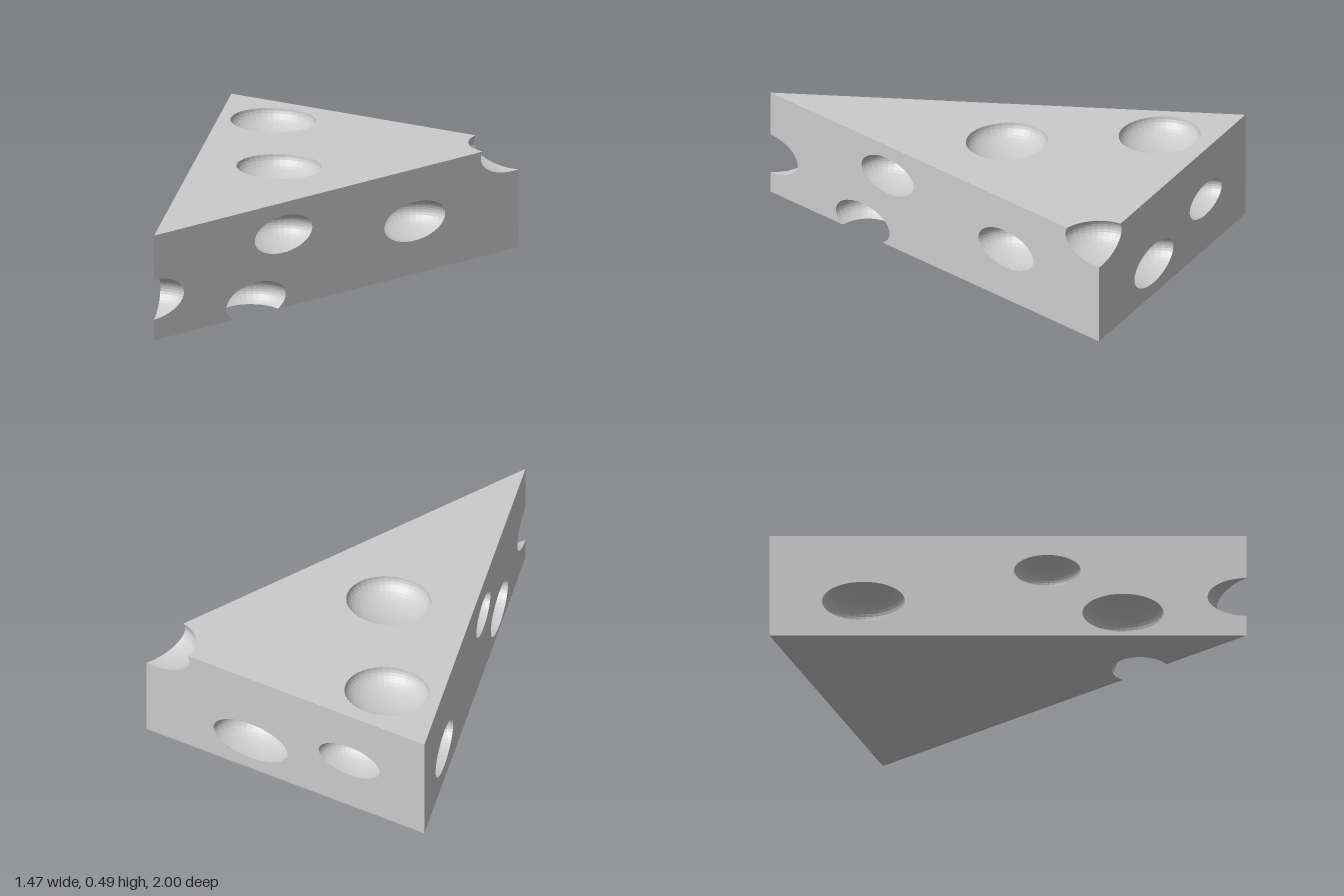
import * as THREE from 'three';

// The holes are ellipsoids of one proportion. All is built in a space where
// they are spheres, then stretched by S.
const S = new THREE.Vector3(1.08, 0.516, 1);
const V = (x, y, z) => new THREE.Vector3(x, y, z).divide(S);

// Hole centres (x, y, z) and radius
const HOLES = [
  [0.262, 0.342, 0.288, 0.167],    // left side
  [0.527, 0.246, -0.433, 0.176],
  [0.183, 0.06, 0.432, 0.174],     // opens through the bottom and into the next
  [-0.168, 0.112, 0.475, 0.181],   // right side
  [-0.307, 0.32, 0.165, 0.148],
  [-0.59, 0.169, -0.605, 0.184],
  [0, 0.19, 1.008, 0.181],         // tip
  [0.705, 0.458, -0.975, 0.184],   // back top corner
  [0.184, 0.15, -1, 0.181],        // back
  [-0.337, 0.244, -1, 0.149],
  [-0.379, 0.49, -0.75, 0.18],     // top
  [-0.018, 0.49, -0.167, 0.18],
].map(([x, y, z, r]) => ({ c: V(x, y, z), r }));

// Corners of the wedge, bottom (0) and top (1)
const W = 0.735, H = 0.49;
const [L0, R0, T0] = [V(W, 0, -1), V(-W, 0, -1), V(0, 0, 1)];
const [L1, R1, T1] = [V(W, H, -1), V(-W, H, -1), V(0, H, 1)];
const FACES = [
  [T1, L1, R1], [T0, R0, L0],
  [T0, L0, L1, T1], [R0, T0, T1, R1], [L0, R0, R1, L1],
].map((pts) => {
  const u = pts[1].clone().sub(pts[0]).normalize();
  const n = u.clone().cross(pts[2].clone().sub(pts[0])).normalize();
  return { pts, u, n, v: n.clone().cross(u), d: n.dot(pts[0]) };
});

function insidePolygon(p, poly) {
  return poly.every((a, i) => {
    const b = poly[(i + 1) % poly.length];
    return (b.x - a.x) * (p.y - a.y) - (b.y - a.y) * (p.x - a.x) > 0;
  });
}

// Cut a circle that crosses the outline out of a counter-clockwise polygon;
// returns null where they do not cross.
function bite(poly, c, r) {
  const out = [];
  let enter = null, exit = null, exitAt = 0;
  poly.forEach((a, i) => {
    const b = poly[(i + 1) % poly.length];
    if (a.distanceTo(c) >= r) out.push(a);
    const e = b.clone().sub(a), f = a.clone().sub(c);
    const A = e.dot(e), B = e.dot(f), D = B * B - A * (f.dot(f) - r * r);
    if (D <= 0) return;
    const t0 = (-B - Math.sqrt(D)) / A, t1 = (-B + Math.sqrt(D)) / A;
    if (t0 > 0 && t0 < 1) {
      enter = a.clone().addScaledVector(e, t0);
      exitAt = out.length;
    }
    if (t1 > 0 && t1 < 1) exit = a.clone().addScaledVector(e, t1);
  });
  if (!enter || !exit) return null;
  const a0 = Math.atan2(enter.y - c.y, enter.x - c.x);
  let a1 = Math.atan2(exit.y - c.y, exit.x - c.x);
  if (a1 > a0) a1 -= 2 * Math.PI;
  const arc = [], N = 40;
  for (let k = 0; k <= N; k++) {
    const a = a0 + (a1 - a0) * k / N;
    arc.push(new THREE.Vector2(c.x + r * Math.cos(a), c.y + r * Math.sin(a)));
  }
  out.splice(exitAt, 0, ...arc);
  return out;
}

// One flat side of the wedge with its openings
function faceGeometry({ pts, u, v, n, d }) {
  const flat = (p) => new THREE.Vector2(p.dot(u), p.dot(v));
  const corners = pts.map(flat);
  let outline = corners;
  const rings = [];
  for (const { c, r } of HOLES) {
    const h = n.dot(c) - d;
    if (Math.abs(h) >= r) continue;
    const c2 = flat(c), r2 = Math.sqrt(r * r - h * h);
    const bitten = bite(outline, c2, r2);
    if (bitten) outline = bitten;
    else if (insidePolygon(c2, corners)) {
      rings.push(new THREE.Path().absarc(c2.x, c2.y, r2, 0, Math.PI * 2, true));
    }
  }
  const shape = new THREE.Shape(outline);
  shape.holes = rings;
  const m = new THREE.Matrix4().makeBasis(u, v, n).setPosition(n.clone().multiplyScalar(d));
  return new THREE.ShapeGeometry(shape, 40).applyMatrix4(m);
}

// Keep the part of a polygon where n.p <= d
function clip(poly, { n, d }) {
  const out = [];
  poly.forEach((a, i) => {
    const b = poly[(i + 1) % poly.length];
    const da = n.dot(a) - d, db = n.dot(b) - d;
    if (da <= 0) out.push(a);
    if (da * db < 0) out.push(a.clone().lerp(b, da / (da - db)));
  });
  return out;
}

// Inner wall of a hole: an inward-facing sphere cut by the wedge sides and by
// the plane in which it meets each other hole
function holeGeometry(hole) {
  const { c, r } = hole;
  const planes = [...FACES];
  for (const o of HOLES) {
    if (o === hole) continue;
    const n = o.c.clone().sub(c), len = n.length();
    const d = (o.c.lengthSq() - o.r * o.r - c.lengthSq() + r * r) / (2 * len);
    planes.push({ n: n.divideScalar(len), d });
  }
  const ball = new THREE.SphereGeometry(r, 40, 24).translate(c.x, c.y, c.z).toNonIndexed();
  const pos = ball.attributes.position, verts = [];
  for (let i = 0; i < pos.count; i += 3) {
    let poly = [2, 1, 0].map((k) => new THREE.Vector3().fromBufferAttribute(pos, i + k));
    for (const p of planes) poly = clip(poly, p);
    for (let k = 2; k < poly.length; k++) verts.push(poly[0], poly[k - 1], poly[k]);
  }
  return new THREE.BufferGeometry().setFromPoints(verts);
}

export function createModel() {
  const group = new THREE.Group();
  group.name = 'cheeseWedge';
  const material = new THREE.MeshStandardMaterial({ color: 0xcccccc, flatShading: true });
  const add = (geometry, name) => {
    geometry.scale(S.x, S.y, S.z);
    geometry.computeVertexNormals();
    const mesh = new THREE.Mesh(geometry, material);
    mesh.name = name;
    group.add(mesh);
  };
  const names = ['topFace', 'bottomFace', 'leftFace', 'rightFace', 'backFace'];
  FACES.forEach((f, i) => add(faceGeometry(f), names[i]));
  HOLES.forEach((h, i) => add(holeGeometry(h), `hole${i + 1}`));
  return group;
}
